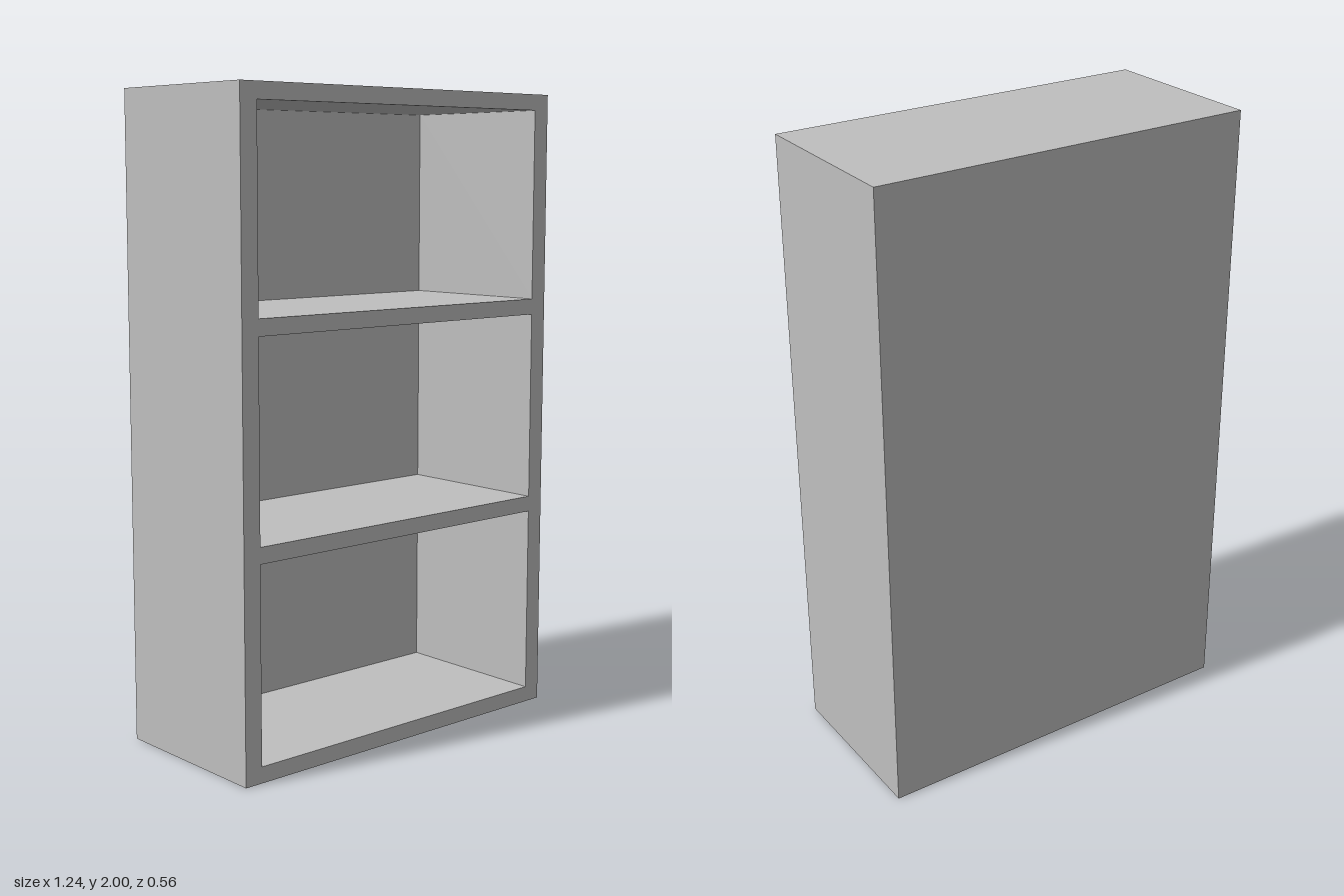
import * as THREE from 'three';

const W = 1.244, H = 2, D = 0.556;        // outer size
const BOARD = 0.05, OPEN_W = 1.126, OPEN_H = 0.6, BACK = 0.03, BAYS = 3;

// Box without its front (+z) face; inward = true makes it face inside
function openBox(w, h, d, inward) {
  const geo = new THREE.BoxGeometry(w, h, d);
  const index = Array.from(geo.index.array);
  index.splice(24, 6);
  if (inward) {
    index.reverse();
    const n = geo.attributes.normal;
    for (let i = 0; i < n.count; i++) n.setXYZ(i, -n.getX(i), -n.getY(i), -n.getZ(i));
  }
  geo.setIndex(index);
  geo.clearGroups();
  return geo;
}

// Counter-clockwise rectangle outline
function rect(target, x0, y0, x1, y1) {
  target.moveTo(x0, y0).lineTo(x1, y0).lineTo(x1, y1).lineTo(x0, y1).closePath();
  return target;
}

export function createModel() {
  const group = new THREE.Group();
  group.name = 'bookcase';
  const grey = new THREE.MeshStandardMaterial({ color: 0xbfbfbf });
  grey.name = 'light grey';

  const add = (name, geo, x, y, z) => {
    const mesh = new THREE.Mesh(geo, grey);
    mesh.name = name;
    mesh.position.set(x, y, z);
    group.add(mesh);
  };

  // Sides, top, bottom and back of the case
  add('carcass', openBox(W, H, D, false), 0, H / 2, 0);

  // Front edges of the boards, with one opening per bay
  const front = rect(new THREE.Shape(), -W / 2, 0, W / 2, H);
  const depth = D - BACK;
  for (let i = 0; i < BAYS; i++) {
    const y = BOARD + i * (OPEN_H + BOARD);
    front.holes.push(rect(new THREE.Path(), -OPEN_W / 2, y, OPEN_W / 2, y + OPEN_H));
    // Inside walls, shelf and back of the bay
    add('shelfBay' + (i + 1), openBox(OPEN_W, OPEN_H, depth, true), 0, y + OPEN_H / 2, BACK / 2);
  }
  add('frontFrame', new THREE.ShapeGeometry(front), 0, 0, D / 2);

  return group;
}
